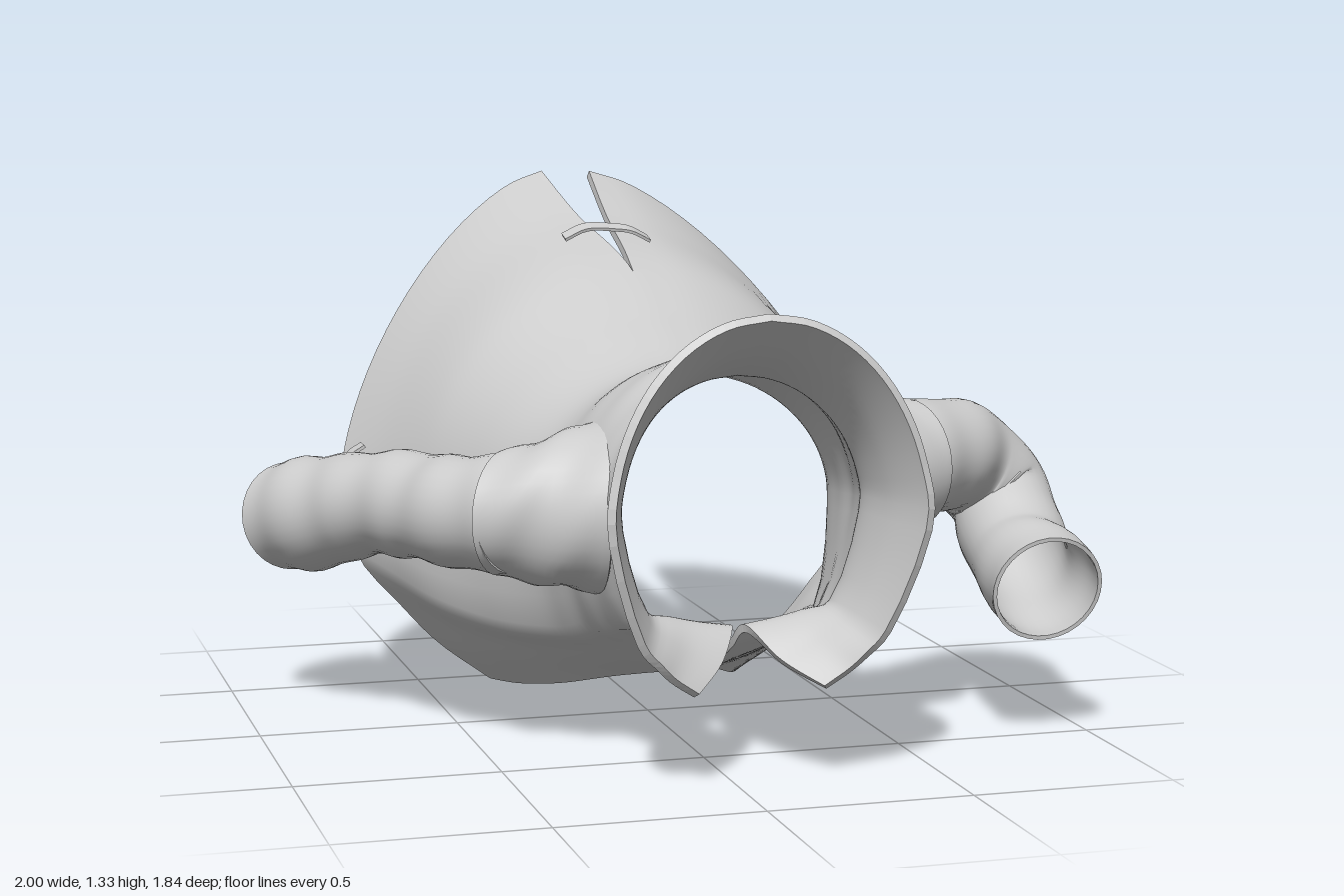
import * as THREE from 'three';
import { mergeVertices, mergeGeometries } from 'three/addons/utils/BufferGeometryUtils.js';

const V = (x, y, z) => new THREE.Vector3(x, y, z);
const lerp = THREE.MathUtils.lerp;
const material = new THREE.MeshStandardMaterial({ color: 0xcccccc, side: THREE.DoubleSide });

// Smooth sheet from rows and columns; the column gap after "cut" is left open
function sheet(rows, cols, point, cut = -1) {
  const pos = [], index = [];
  for (let i = 0; i <= rows; i++)
    for (let j = 0; j <= cols; j++) pos.push(...point(i, j).toArray());
  for (let i = 0; i < rows; i++)
    for (let j = 0; j < cols; j++) {
      if (j === cut) continue;
      const a = i * (cols + 1) + j, b = a + cols + 1;
      index.push(a, a + 1, b, a + 1, b + 1, b);
    }
  let g = new THREE.BufferGeometry();
  g.setAttribute('position', new THREE.Float32BufferAttribute(pos, 3));
  g.setIndex(index);
  g = mergeVertices(g, 1e-5);
  g.computeVertexNormals();
  return g;
}

// Give a sheet cloth thickness: outer face, inner face and sharp rims
function thicken(outer, t) {
  const inner = outer.clone(), p = outer.attributes.position, n = outer.attributes.normal;
  const q = inner.attributes.position, idx = outer.index.array;
  for (let i = 0; i < p.count; i++) {
    q.setXYZ(i, p.getX(i) - n.getX(i) * t, p.getY(i) - n.getY(i) * t, p.getZ(i) - n.getZ(i) * t);
    inner.attributes.normal.setXYZ(i, -n.getX(i), -n.getY(i), -n.getZ(i));
  }
  inner.setIndex(Array.from(idx).reverse());
  const edges = new Map();
  for (let f = 0; f < idx.length; f += 3)
    for (let k = 0; k < 3; k++) {
      const a = idx[f + k], b = idx[f + (k + 1) % 3];
      if (a === b) continue;
      const key = Math.min(a, b) + '_' + Math.max(a, b);
      edges.set(key, edges.has(key) ? null : [a, b]);
    }
  const rim = [];
  const put = (attr, i) => rim.push(attr.getX(i), attr.getY(i), attr.getZ(i));
  for (const e of edges.values()) {
    if (!e) continue;
    const [a, b] = e;
    put(p, b); put(p, a); put(q, a);
    put(p, b); put(q, a); put(q, b);
  }
  const r = new THREE.BufferGeometry();
  r.setAttribute('position', new THREE.Float32BufferAttribute(rim, 3));
  r.computeVertexNormals();
  return mergeGeometries([outer.toNonIndexed(), inner.toNonIndexed(), r]);
}

function part(name, geometry) {
  const m = new THREE.Mesh(geometry, material);
  m.name = name;
  return m;
}

// Smooth interpolation through the rows of a table, t in 0..1
function sample(table, t) {
  const s = t * (table.length - 1), i = Math.min(Math.floor(s), table.length - 2), f = s - i;
  const row = k => table[Math.max(0, Math.min(table.length - 1, k))];
  return row(i).map((b, c) => {
    const a = row(i - 1)[c], d = row(i + 1)[c], e = row(i + 2)[c];
    return b + 0.5 * f * (d - a + f * (2 * a - 5 * b + 4 * d - e + f * (3 * (b - d) + e - a)));
  });
}

// Coat sections, collar to hem:
// z top, z side, z bottom, y top, y side, half width, lower x, lower y, edge x, edge y
const SECTIONS = [
  [0.87, 0.91, 0.82, 1.12, 0.64, 0.388, 0.30, 0.36, 0.16, 0.235],
  [0.76, 0.78, 0.74, 1.03, 0.64, 0.340, 0.26, 0.385, 0.08, 0.28],
  [0.65, 0.66, 0.65, 0.975, 0.64, 0.322, 0.24, 0.39, 0.02, 0.34],
  [0.57, 0.57, 0.57, 0.970, 0.62, 0.345, 0.26, 0.36, 0.01, 0.29],
  [0.42, 0.42, 0.42, 0.980, 0.60, 0.37, 0.29, 0.33, 0.015, 0.215],
  [0.18, 0.20, 0.25, 0.92, 0.58, 0.395, 0.34, 0.28, 0.06, 0.165],
  [-0.06, -0.03, 0.04, 1.00, 0.56, 0.49, 0.44, 0.26, 0.14, 0.11],
  [-0.35, -0.25, -0.15, 1.14, 0.55, 0.59, 0.55, 0.28, 0.23, 0.055],
  [-0.64, -0.44, -0.32, 1.23, 0.55, 0.665, 0.63, 0.32, 0.30, 0.02],
  [-0.89, -0.58, -0.46, 1.335, 0.54, 0.725, 0.70, 0.355, 0.35, 0.005],
];
const CENTER = 0.04;

// Collar, torso and flared skirt, slit at the back and open underneath
function coat() {
  const rows = 72, half = 36;
  const lines = [];
  for (let i = 0; i <= rows; i++) {
    const [zt, zs, zb, yt, ys, w, xl, yl, xb, yb] = sample(SECTIONS, i / rows);
    const slit = Math.max(0, (-0.29 - zt) / 0.6);
    const power = 1 + 0.36 * slit;
    lines.push([-1, 1].map(side => {
      const gap = slit * (side < 0 ? 0.09 : 0.035);
      const zSeam = zt + slit * (side < 0 ? -0.025 : 0.02);
      const pts = [];
      for (let k = 0; k <= 6; k++) {
        const a = k * Math.PI / 12;
        const c = Math.pow(Math.max(0, Math.cos(a)), power), s = Math.pow(Math.sin(a), power);
        pts.push(V(gap + (w - gap) * s, lerp(ys, yt, c), lerp(zs, zSeam, c)));
      }
      pts.push(V(xl, yl, lerp(zs, zb, 0.6)));
      pts.push(V(lerp(xl, xb, 0.32), lerp(yl, yb, 0.40), lerp(zs, zb, 0.75)));
      pts.push(V(lerp(xl, xb, 0.60), lerp(yl, yb, 0.70), lerp(zs, zb, 0.9)));
      pts.push(V(xb, yb, zb));
      return new THREE.CatmullRomCurve3(pts).getPoints(half).map(p => {
        // Soft slanting creases around the torso
        const crease = 0.01 * Math.exp(-(((p.z - 0.42) / 0.14) ** 2));
        const k = 1 + crease * Math.sin(p.z * 38 + 9 * side * p.x) * Math.cos(side * 7 * p.x + 5 * p.y);
        return V(CENTER + side * p.x * k, 0.6 + (p.y - 0.6) * k, p.z);
      });
    }));
  }
  const point = (i, j) => j <= half ? lines[i][0][half - j] : lines[i][1][j - half - 1];
  return thicken(sheet(rows, 2 * half + 1, point, half), 0.02);
}

// Shoulder cap lofted from a ring lying on the torso to a round sleeve end
function shoulder(side, baseY, end, radius, axis) {
  const rows = 16, cols = 36, baseR = 0.205;
  const across = V(-axis.z * side, 0, axis.x * side);
  return thicken(sheet(rows, cols, (i, j) => {
    const t = i / rows, a = -side * (j % cols) / cols * Math.PI * 2;
    const c = Math.cos(a), s = Math.sin(a);
    const y = baseY + baseR * s, z = 0.47 + baseR * c;
    const width = 0.37 - 0.22 * Math.max(0, z - 0.42);
    const base = V(CENTER + side * width * Math.sqrt(1 - ((y - 0.6) / 0.37) ** 2), y, z);
    const tip = end.clone().addScaledVector(across, radius * c);
    tip.y += radius * s;
    const fold = 0.008 * Math.sin(Math.PI * t) * Math.sin(9 * t + 3 * a);
    return base.lerp(tip, t).add(V(0, s * fold, c * fold));
  }), 0.01);
}

// Open cloth tube: points [x, y, z, radius], with wrinkles
function sleeve(points, wrinkle, phase) {
  const curve = new THREE.CatmullRomCurve3(points.map(p => V(p[0], p[1], p[2])));
  const rows = 64, cols = 32, frames = curve.computeFrenetFrames(rows);
  return thicken(sheet(rows, cols, (i, j) => {
    const t = i / rows, a = (j % cols) / cols * Math.PI * 2;
    const r = sample(points.map(p => [p[3]]), t)[0] * (1 + wrinkle * (
      Math.sin(30 * t + 1.6 * Math.sin(a + phase)) + 0.6 * Math.sin(17 * t + 2 * a + phase)));
    return curve.getPointAt(t)
      .addScaledVector(frames.normals[i], r * Math.cos(a))
      .addScaledVector(frames.binormals[i], r * Math.sin(a));
  }), 0.01);
}

// Flat band along a path, widened along one direction
function band(points, across) {
  const curve = new THREE.CatmullRomCurve3(points.map(p => V(...p)));
  return thicken(sheet(16, 1, (i, j) =>
    curve.getPoint(i / 16).addScaledVector(across, j - 0.5)), 0.008);
}

export function createModel() {
  const g = new THREE.Group();
  g.name = 'coat';
  g.add(part('coatBody', coat()));

  // Shoulder caps overlapping the sleeves
  g.add(part('rightShoulder', shoulder(-1, 0.625, V(-0.47, 0.61, 0.395), 0.15, V(-0.75, 0, -0.66))));
  g.add(part('leftShoulder', shoulder(1, 0.67, V(0.55, 0.69, 0.415), 0.158, V(0.93, 0, -0.36))));

  // Right sleeve stretched backward, left sleeve bent at the elbow
  g.add(part('rightSleeve', sleeve([
    [-0.44, 0.61, 0.43, 0.14], [-0.54, 0.595, 0.28, 0.138], [-0.63, 0.59, 0.11, 0.13],
    [-0.715, 0.57, -0.04, 0.13], [-0.80, 0.53, -0.18, 0.14], [-0.86, 0.50, -0.32, 0.145]], 0.03, 0)));
  g.add(part('leftSleeve', sleeve([
    [0.51, 0.69, 0.42, 0.145], [0.66, 0.69, 0.31, 0.143], [0.79, 0.65, 0.22, 0.135],
    [0.865, 0.565, 0.215, 0.13], [0.86, 0.44, 0.38, 0.13], [0.85, 0.39, 0.59, 0.14]], 0.025, 2)));

  // Strap bridging the back slit
  g.add(part('backStrap', band([
    [-0.09, 1.18, -0.50], [-0.03, 1.205, -0.505], [0.04, 1.205, -0.485],
    [0.08, 1.20, -0.465], [0.13, 1.175, -0.465]], V(0, 0.012, -0.042))));

  // Small side tabs near the hem
  for (const s of [-1, 1])
    g.add(part(s < 0 ? 'rightTab' : 'leftTab', band([
      [CENTER + s * 0.68, 0.65, -0.51], [CENTER + s * 0.72, 0.62, -0.51],
      [CENTER + s * 0.73, 0.54, -0.495], [CENTER + s * 0.695, 0.475, -0.48]], V(0, 0, s * 0.055))));
  return g;
}
